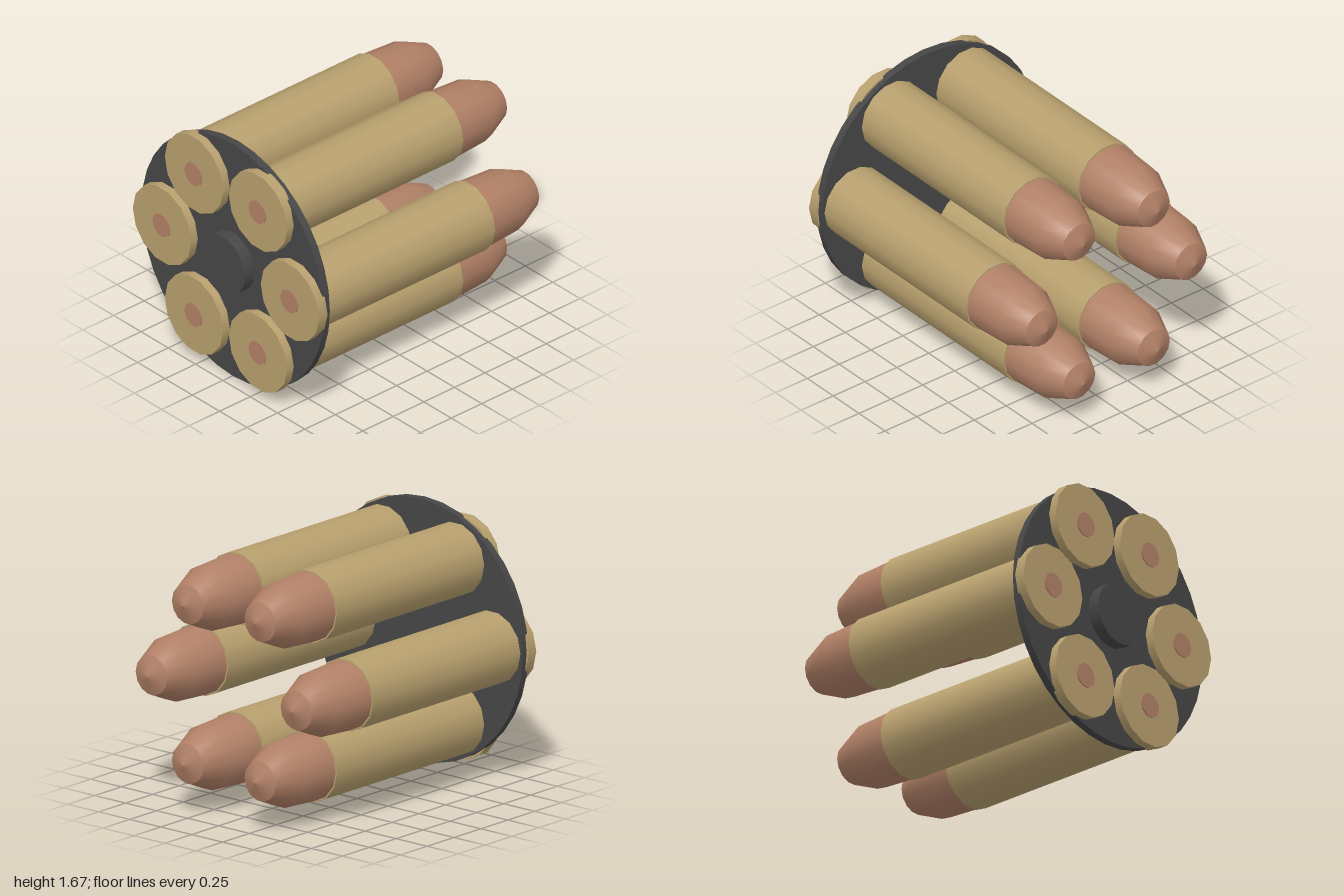
import * as THREE from 'three';

const CENTRE_Y = 0.834;
const RING_RADIUS = 0.585;
const SIDES = 14;

const material = (name, color) => {
  const m = new THREE.MeshStandardMaterial({ color });
  m.name = name;
  return m;
};

export function createModel() {
  const brass = material('brass', 0xb8a06e);
  const copper = material('copper', 0xb18066);
  const steel = material('dark steel', 0x464646);

  const part = (name, geometry, mat) => {
    const mesh = new THREE.Mesh(geometry, mat);
    mesh.name = name;
    return mesh;
  };

  // Closed cylinder lying along x, from x0 to x1
  const rod = (radius, x0, x1, sides) =>
    new THREE.CylinderGeometry(radius, radius, x1 - x0, sides)
      .translate(0, (x0 + x1) / 2, 0)
      .rotateZ(-Math.PI / 2);

  // Turned surface along x from [radius, x] pairs
  const turned = (profile) =>
    new THREE.LatheGeometry(profile.map(([r, x]) => new THREE.Vector2(r, x)), SIDES)
      .rotateZ(-Math.PI / 2);

  const model = new THREE.Group();
  model.name = 'cartridgeRing';

  // Holder plate and knob
  const holder = new THREE.Group();
  holder.name = 'holder';
  holder.position.y = CENTRE_Y;
  holder.add(
    part('plate', rod(0.834, -0.92, -0.87, 36), steel),
    part('knob', rod(0.2, -1, -0.92, 18), steel),
  );
  model.add(holder);

  // Shared geometry of one cartridge
  const pieces = [
    ['rim', rod(0.267, -0.975, -0.905, SIDES), brass],
    ['case', rod(0.23, -0.91, 0.5, SIDES), brass],
    ['primer', rod(0.08, -0.982, -0.97, 10), copper],
    ['bullet', turned([[0.22, 0.5], [0.205, 0.773], [0.127, 0.95]]), copper],
    ['bulletTip', turned([[0.127, 0.95], [0, 1]]), copper],
  ];

  // Ring of six cartridges
  for (let i = 0; i < 6; i++) {
    const a = (i * Math.PI) / 3;
    const cartridge = new THREE.Group();
    cartridge.name = `cartridge${i + 1}`;
    cartridge.position.set(0, CENTRE_Y + RING_RADIUS * Math.sin(a), RING_RADIUS * Math.cos(a));
    for (const [name, geometry, mat] of pieces) cartridge.add(part(name, geometry, mat));
    model.add(cartridge);
  }

  return model;
}
